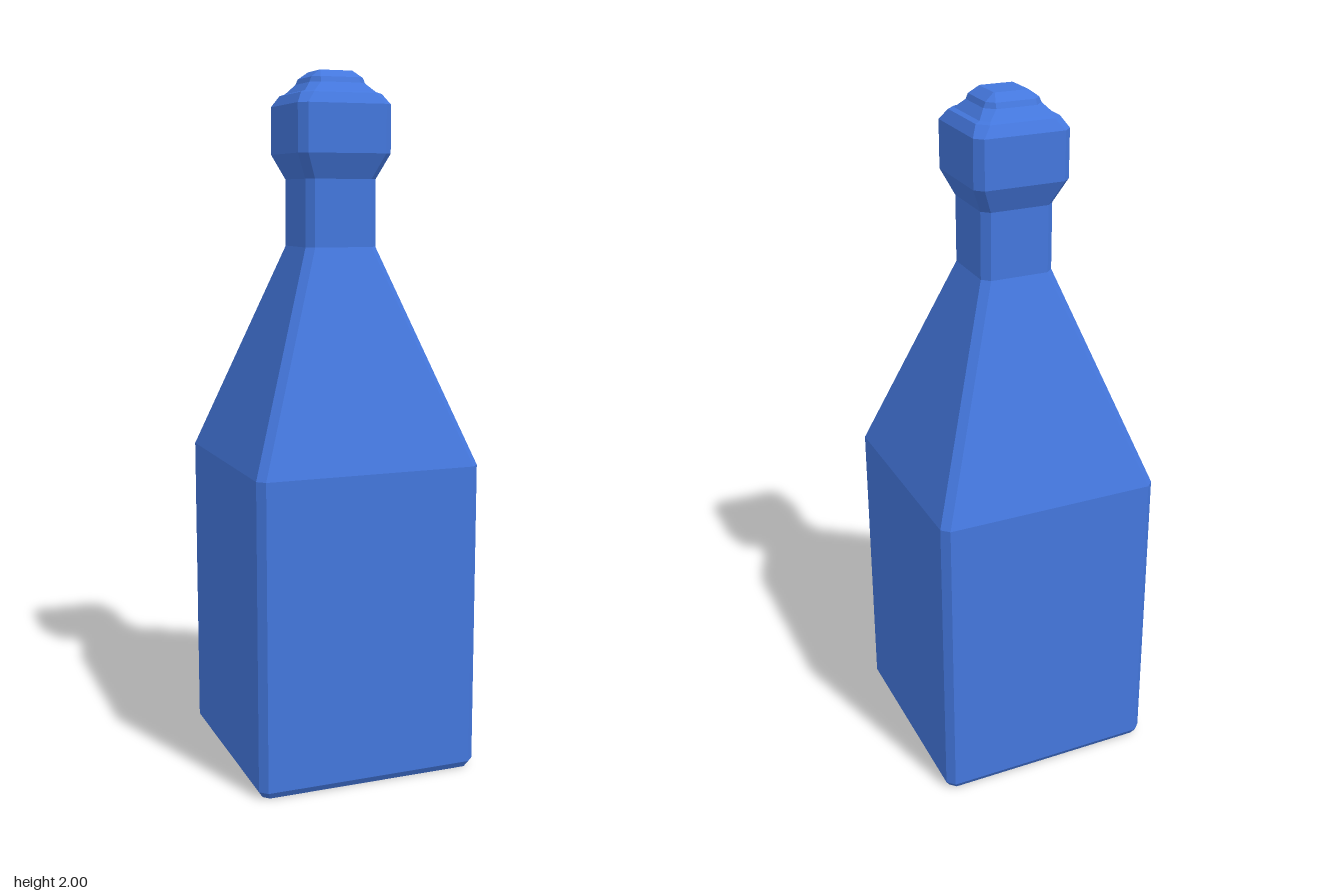
import * as THREE from 'three';

// Each ring: [corner radius, height, half width of the bevelled corner]
const BODY = [[0.435, 0, 0.012], [0.45, 0.02, 0.015], [0.45, 0.9, 0.015], [0.135, 1.51, 0.015]];
const NECK = [[0.135, 1.51, 0.015], [0.135, 1.7, 0.015]];
const STOPPER = [
  [0.135, 1.7, 0.015], [0.18, 1.77, 0.016], [0.18, 1.905, 0.016], [0.15, 1.935, 0.02],
  [0.135, 1.94, 0.015], [0.1, 1.965, 0.018], [0.095, 1.98, 0.014], [0.068, 2, 0.002],
];

// Diamond with clipped corners, running from +x towards +z
function ring([r, y, w]) {
  const points = [];
  for (let i = 0; i < 4; i++) {
    const c = Math.round(Math.cos(i * Math.PI / 2));
    const s = Math.round(Math.sin(i * Math.PI / 2));
    for (const t of [-w, w]) points.push([r * c - t * s, y, r * s + t * c]);
  }
  return points;
}

// Skin a stack of rings, with optional end caps
function loft(profile, capBottom, capTop) {
  const positions = [];
  const tri = (a, b, c) => positions.push(...a, ...b, ...c);
  const rings = profile.map(ring);
  const last = rings.length - 1;
  for (let i = 0; i < 8; i++) {
    const j = (i + 1) % 8;
    for (let k = 0; k < last; k++) {
      const low = rings[k], high = rings[k + 1];
      tri(low[i], high[i], low[j]);
      tri(low[j], high[i], high[j]);
    }
    if (capBottom) tri([0, profile[0][1], 0], rings[0][i], rings[0][j]);
    if (capTop) tri([0, profile[last][1], 0], rings[last][j], rings[last][i]);
  }
  const geometry = new THREE.BufferGeometry();
  geometry.setAttribute('position', new THREE.Float32BufferAttribute(positions, 3));
  geometry.computeVertexNormals();
  return geometry;
}

export function createModel() {
  const group = new THREE.Group();
  group.name = 'bottle';
  const blue = new THREE.MeshStandardMaterial({ color: 0x4477dd, flatShading: true });

  const add = (name, geometry) => {
    const mesh = new THREE.Mesh(geometry, blue);
    mesh.name = name;
    group.add(mesh);
  };

  add('body', loft(BODY, true, false)); // square base and tapered shoulders
  add('neck', loft(NECK, false, false));
  add('stopper', loft(STOPPER, false, true)); // flared lip and stepped top
  return group;
}
